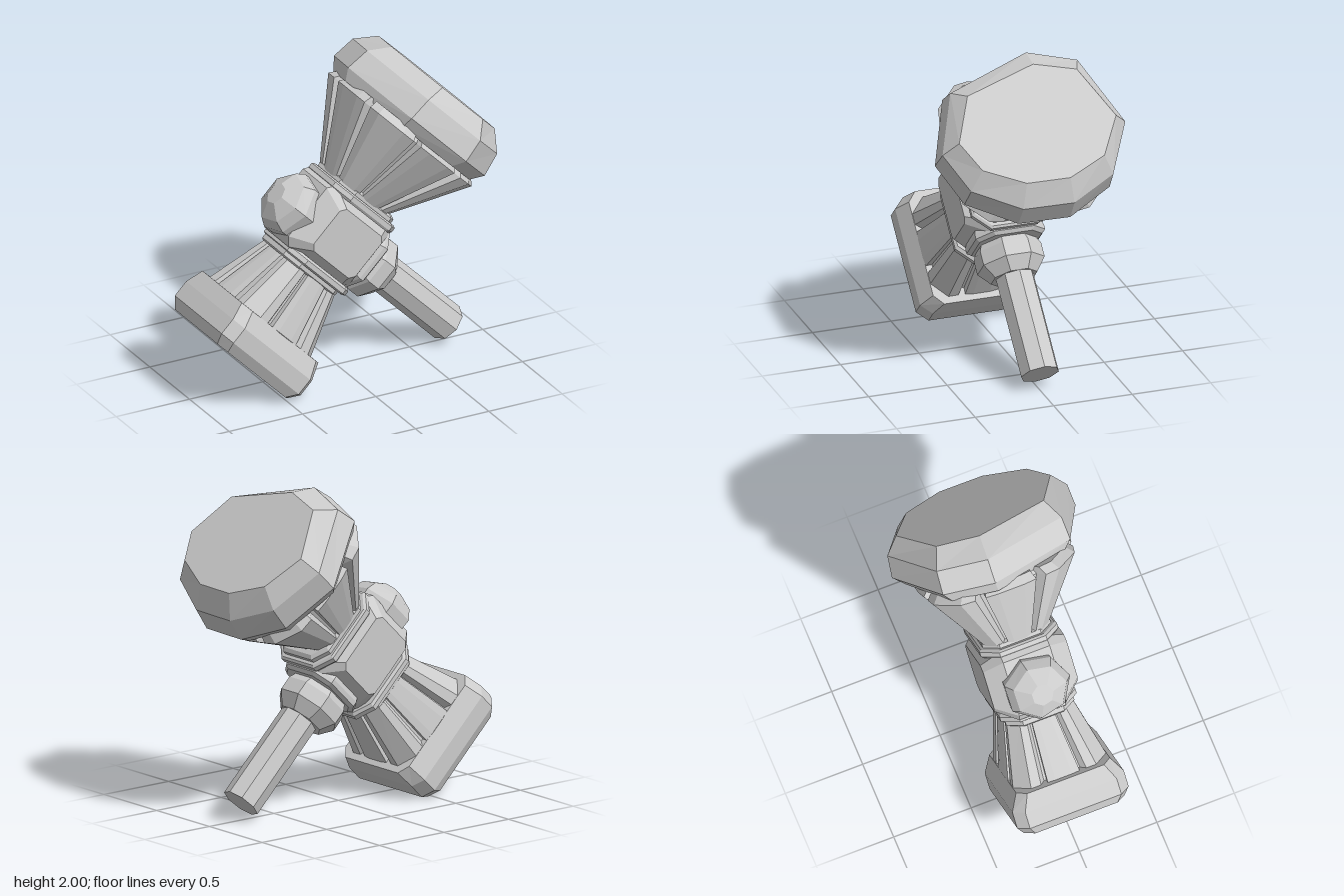
import * as THREE from 'three';

const material = new THREE.MeshStandardMaterial({ color: 0xcccccc, flatShading: true });

// Faceted solid: a plan outline [x, z] repeated at layers [y, scaleX, scaleZ], going up
function loft(name, plan, layers, [x, y, z] = [0, 0, 0]) {
  const pos = [];
  const rings = layers.map(([h, sx, sz = sx]) => plan.map(([px, pz]) => [px * sx, h, pz * sz]));
  const n = plan.length;
  const top = rings[rings.length - 1];
  const bottomY = layers[0][0];
  const topY = layers[layers.length - 1][0];
  for (let i = 0; i < n; i++) {
    const j = (i + 1) % n;
    for (let k = 0; k + 1 < rings.length; k++) {
      const a = rings[k], b = rings[k + 1];
      pos.push(...a[i], ...a[j], ...b[j], ...a[i], ...b[j], ...b[i]);
    }
    pos.push(0, bottomY, 0, ...rings[0][j], ...rings[0][i]);
    pos.push(0, topY, 0, ...top[i], ...top[j]);
  }
  const geometry = new THREE.BufferGeometry();
  geometry.setAttribute('position', new THREE.Float32BufferAttribute(pos, 3));
  geometry.computeVertexNormals();
  const mesh = new THREE.Mesh(geometry, material);
  mesh.name = name;
  mesh.position.set(x, y, z);
  return mesh;
}

// Point on a rounded square; power 2 is a circle, higher is squarer
const polar = (deg, r = 1, power = 2) => {
  const a = THREE.MathUtils.degToRad(deg);
  const c = Math.cos(a), s = Math.sin(a);
  const k = r / (Math.abs(c) ** power + Math.abs(s) ** power) ** (1 / power);
  return [k * c, -k * s];
};

// Regular polygon outline
const ngon = (sides, phase = 0) =>
  Array.from({ length: sides }, (_, i) => polar(phase + (i * 360) / sides));

// Rectangle outline with cut corners
const cutRect = (w, d, c) => [
  [w, d - c], [w, -d + c], [w - c, -d], [-w + c, -d],
  [-w, -d + c], [-w, d - c], [-w + c, d], [w - c, d],
];

// Outline of eight broad ribs separated by narrow grooves
function ribbed(power) {
  const plan = [];
  for (let i = 0; i < 8; i++) {
    for (const [offset, r] of [[-19, 1], [-10, 1.02], [10, 1.02], [19, 1], [21, 0.87], [24, 0.87]]) {
      plan.push(polar(i * 45 + offset, r, power));
    }
  }
  return plan;
}

export function createModel() {
  const group = new THREE.Group();
  group.name = 'hammer';

  // Hammer is built with the head along y and the handle along +x, then tilted
  const hammer = new THREE.Group();
  hammer.name = 'tiltedHammer';
  hammer.rotation.z = -Math.PI / 4;
  group.add(hammer);
  const cx = -0.69;

  // Central block, lofted from back to front
  const core = loft('coreBlock', cutRect(0.295, 0.235, 0.05), [
    [-0.27, 0.68], [-0.15, 1], [0.15, 1], [0.27, 0.68],
  ], [cx - 0.015, 0.61, 0]);
  core.rotation.x = Math.PI / 2;
  hammer.add(core);

  // Slim stepped flanges on both ends of the block
  const flange = cutRect(0.285, 0.25, 0.1);
  hammer.add(
    loft('upperFlange', flange, [[0.81, 0.96], [0.825, 1], [0.855, 1], [0.865, 0.95]], [cx, 0, 0]),
    loft('upperNeck', flange, [[0.85, 0.86], [0.865, 0.88], [0.89, 0.88], [0.905, 0.8]], [cx, 0, 0]),
    loft('lowerFlange', flange, [[0.345, 0.92], [0.355, 0.98], [0.385, 0.98], [0.4, 0.92]], [cx + 0.03, 0, 0]),
    loft('lowerNeck', flange, [[0.31, 0.84], [0.32, 0.88], [0.36, 0.88]], [cx + 0.01, 0, 0]),
  );

  // Fluted cones leading to the two striking ends
  hammer.add(
    loft('largeFlutedCone', ribbed(3.5), [[0.87, 0.21], [1.34, 0.47, 0.48], [1.39, 0.44, 0.43]], [-0.725, 0, 0]),
    loft('smallFlutedCone', ribbed(6), [[-0.12, 0.3, 0.27], [-0.06, 0.325, 0.3], [0.33, 0.22, 0.21]], [-0.67, 0, 0]),
  );

  // Large uneven striking head
  const headPlan = [
    [-0.52, -0.09], [-0.32, 0.45], [0.09, 0.6], [0.36, 0.48], [0.53, 0.18],
    [0.535, -0.15], [0.38, -0.44], [0.04, -0.6], [-0.42, -0.4],
  ];
  hammer.add(loft('largeHead', headPlan, [
    [1.365, 0.92, 0.88], [1.44, 1, 1], [1.59, 0.94, 0.98], [1.7, 0.71, 0.84],
  ], [-0.735, 0, 0]));

  // Square striking head, narrowing front to back toward its cone
  hammer.add(loft('squareHead', cutRect(0.38, 0.36, 0.065), [
    [-0.345, 0.88, 0.9], [-0.28, 1], [-0.17, 1], [-0.06, 0.97, 0.84],
  ], [-0.67, 0, 0]));

  // Handle side and dome share the x axis
  const addAlongX = (name, plan, layers, y) => {
    const mesh = loft(name, plan, layers, [0, y, 0]);
    mesh.rotation.z = -Math.PI / 2;
    hammer.add(mesh);
  };
  addAlongX('handlePlate', cutRect(0.21, 0.22, 0.09), [[-0.46, 0.95], [-0.43, 1], [-0.4, 1], [-0.38, 0.9]], 0.61);
  addAlongX('handleCollar', ngon(8, 22.5), [
    [-0.4, 0.18], [-0.34, 0.21], [-0.25, 0.21], [-0.17, 0.145],
  ], 0.59);
  addAlongX('handle', ngon(8), [[-0.25, 0.12], [0.465, 0.12]], 0.605);
  addAlongX('topDome', ngon(7, 12), [
    [-1.16, 0.07], [-1.105, 0.17], [-1.04, 0.205, 0.21], [-0.94, 0.2],
  ], 0.58);

  return group;
}
